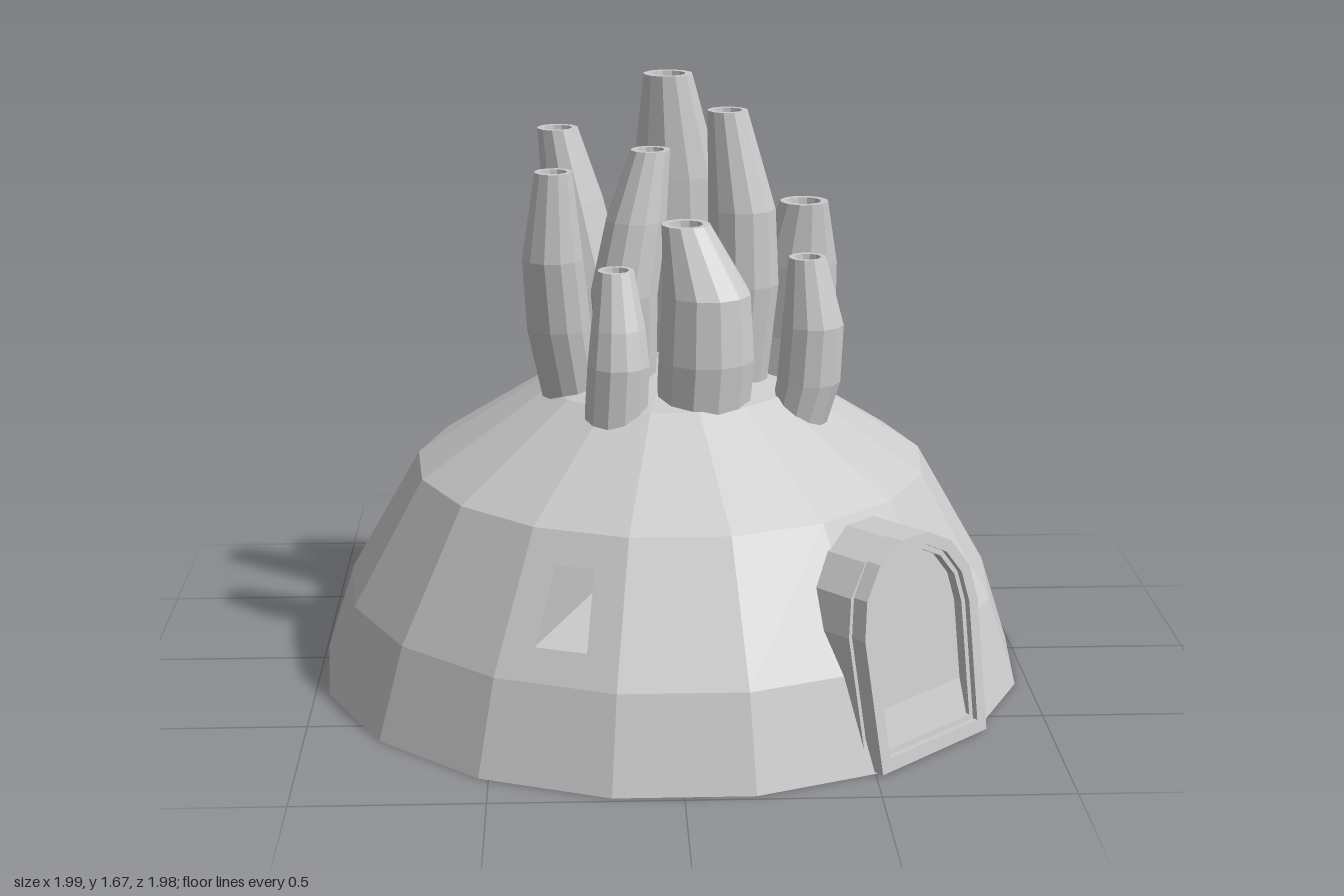
import * as THREE from 'three';

const V = (x, y, z) => new THREE.Vector3(x, y, z);
const material = () => new THREE.MeshStandardMaterial({ color: 0xcccccc, flatShading: true });
const UP = V(0, 1, 0);

// Adds a quad a-b-c-d (counter-clockwise from outside), dropping collapsed triangles
function quad(list, a, b, c, d) {
  if (!a.equals(b)) list.push(a, b, c);
  if (!c.equals(d)) list.push(a, c, d);
}

// Quads between two loops of equal length
function bridge(list, lower, upper, skip = []) {
  const n = lower.length;
  for (let k = 0; k < n; k++) {
    if (skip.includes(k)) continue;
    const j = (k + 1) % n;
    quad(list, lower[k], lower[j], upper[j], upper[k]);
  }
}

function toMesh(list, name) {
  const geometry = new THREE.BufferGeometry().setFromPoints(list);
  geometry.computeVertexNormals();
  const mesh = new THREE.Mesh(geometry, material());
  mesh.name = name;
  return mesh;
}

// Horizontal ring; facet k is centred on angle k * step, measured from +z towards +x
function ring(n, x, y, z, r) {
  return Array.from({ length: n }, (_, k) => {
    const a = (k - 0.5) * 2 * Math.PI / n;
    return V(x + r * Math.sin(a), y, z + r * Math.cos(a));
  });
}

const SIDES = 17;
const STEP = 2 * Math.PI / SIDES;
const WINDOW_FACETS = [6, 16];

// Faceted dome with a closed floor and two deep window openings
function makeDome() {
  const list = [];
  const profile = [[0, 0], [1, 0], [0.92, 0.25], [0.72, 0.6], [0.36, 0.83], [0, 0.9]];
  const rings = profile.map(([r, y]) => ring(SIDES, 0, y, 0, r));
  for (let i = 0; i < rings.length - 1; i++) {
    bridge(list, rings[i], rings[i + 1], i === 2 ? WINDOW_FACETS : []);
  }

  // Facet panels pierced by a tapered window
  const [r0, y0] = profile[2], [r1, y1] = profile[3];
  const inner = Math.cos(STEP / 2);
  const depthAt = (y) => inner * (r0 + (r1 - r0) * (y - y0) / (y1 - y0));
  const hole = [[-0.072, 0.33], [0.072, 0.33], [0.054, 0.52], [-0.054, 0.52]];
  for (const k of WINDOW_FACETS) {
    const turn = (p) => p.applyAxisAngle(UP, k * STEP);
    const next = (k + 1) % SIDES;
    const outer = [rings[2][k], rings[2][next], rings[3][next], rings[3][k]];
    const edge = hole.map(([x, y]) => turn(V(x, y, depthAt(y))));
    const back = hole.map(([x, y]) => turn(V(x, y, 0.4)));
    bridge(list, outer, edge);
    bridge(list, edge, back);
    quad(list, ...back);
  }
  return toMesh(list, 'dome');
}

// Bent, tapered chimney with a recessed mouth; points are [x, y, z, radius]
function makeChimney(points) {
  const [x, y, z, r] = points[points.length - 1];
  const [bx, by, bz] = points[0];
  const all = [[bx, by, bz, 0], ...points,
    [x, y, z, r * 0.7], [x, y - 0.06, z, r * 0.62], [x, y - 0.06, z, 0]];
  const rings = all.map((p) => ring(12, ...p));
  const list = [];
  for (let i = 0; i < rings.length - 1; i++) bridge(list, rings[i], rings[i + 1]);
  return toMesh(list, 'chimney');
}

// Arch outline: slightly splayed sides and a rounded top
function arch(Type, halfWidth, bottom, top) {
  const path = new Type();
  const spring = 0.36;
  path.moveTo(-halfWidth * 0.93, bottom);
  path.lineTo(halfWidth * 0.93, bottom);
  for (let i = 0; i <= 7; i++) {
    const a = i * Math.PI / 7;
    path.lineTo(halfWidth * Math.cos(a), spring + (top - spring) * Math.sin(a));
  }
  path.closePath();
  return path;
}

// Extrudes an arch between two depths, leaning back with height
function archMesh(name, outer, hole, back, front) {
  const shape = arch(THREE.Shape, ...outer);
  if (hole) shape.holes.push(arch(THREE.Path, ...hole));
  const geometry = new THREE.ExtrudeGeometry(shape, { depth: front - back, bevelEnabled: false });
  const p = geometry.attributes.position;
  for (let i = 0; i < p.count; i++) p.setZ(i, p.getZ(i) + back - 0.16 * p.getY(i));
  geometry.computeVertexNormals();
  const mesh = new THREE.Mesh(geometry, material());
  mesh.name = name;
  return mesh;
}

function makeDoorway() {
  const door = new THREE.Group();
  door.name = 'doorway';
  door.add(
    archMesh('porch', [0.24, 0, 0.585], null, 0.68, 0.955),
    archMesh('doorFrame', [0.228, 0.005, 0.588], [0.192, 0.04, 0.555], 0.95, 1.0),
    archMesh('innerFrame', [0.195, 0.035, 0.56], [0.177, 0.055, 0.54], 0.95, 0.985),
    archMesh('doorPanel', [0.185, 0.045, 0.55], null, 0.94, 0.96),
  );
  door.rotation.y = 2 * STEP;
  return door;
}

export function createModel() {
  const model = new THREE.Group();
  model.add(makeDome(), makeDoorway());

  // Cluster of chimneys sprouting from the crown
  const chimneys = new THREE.Group();
  chimneys.name = 'chimneys';
  const paths = [
    [[0.03, 0.76, -0.19, 0.11], [0.03, 1.12, -0.21, 0.135], [0.025, 1.38, -0.2, 0.125], [0, 1.67, -0.155, 0.07]],
    [[0.18, 0.78, 0.05, 0.085], [0.2, 1.12, 0.06, 0.1], [0.195, 1.33, 0.06, 0.095], [0.155, 1.6, 0.055, 0.056]],
    [[-0.12, 0.78, 0.08, 0.08], [-0.13, 1.1, 0.085, 0.095], [-0.095, 1.3, 0.06, 0.085], [-0.055, 1.49, 0.04, 0.055]],
    [[-0.27, 0.76, 0.09, 0.08], [-0.31, 1.02, 0.15, 0.09], [-0.325, 1.22, 0.185, 0.085], [-0.32, 1.46, 0.2, 0.052]],
    [[-0.16, 0.76, 0.29, 0.088], [-0.15, 0.95, 0.295, 0.086], [-0.15, 1.05, 0.28, 0.075], [-0.155, 1.2, 0.25, 0.05]],
    [[-0.18, 0.78, -0.1, 0.09], [-0.22, 1.08, -0.13, 0.1], [-0.27, 1.32, -0.15, 0.088], [-0.31, 1.52, -0.15, 0.058]],
    [[0.08, 0.78, 0.22, 0.13], [0.09, 0.95, 0.23, 0.133], [0.09, 1.13, 0.225, 0.122], [0.035, 1.315, 0.2, 0.067]],
    [[0.33, 0.74, -0.06, 0.115], [0.35, 0.95, -0.085, 0.125], [0.36, 1.15, -0.075, 0.115], [0.375, 1.33, -0.03, 0.068]],
    [[0.345, 0.745, 0.18, 0.08], [0.375, 0.87, 0.18, 0.088], [0.385, 1.03, 0.18, 0.085], [0.368, 1.215, 0.17, 0.052]],
  ];
  for (const path of paths) chimneys.add(makeChimney(path));
  model.add(chimneys);
  return model;
}
